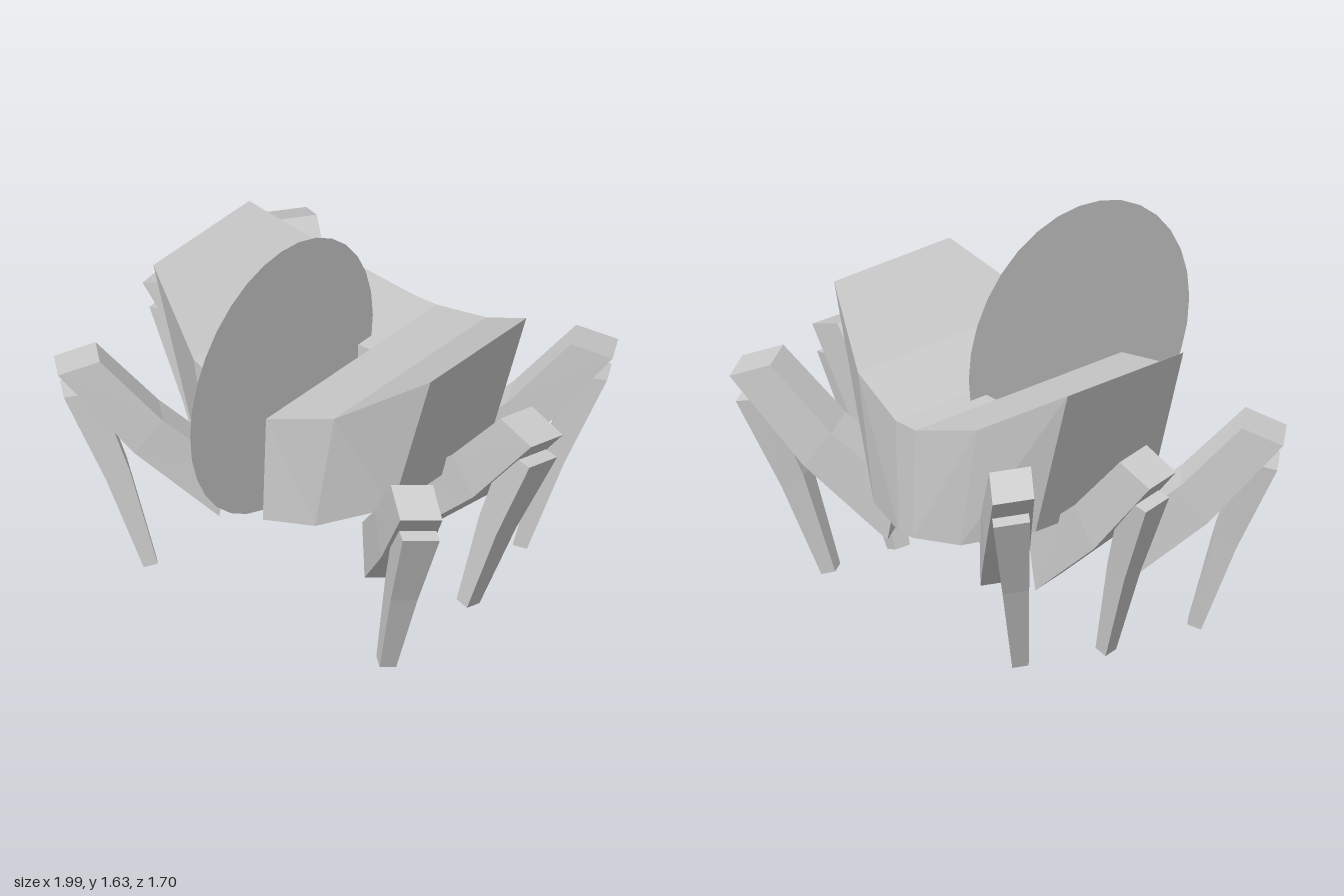
import * as THREE from 'three';

const material = new THREE.MeshStandardMaterial({ color: 0xcccccc, flatShading: true, side: THREE.DoubleSide });

// Joins four-cornered sections into a closed solid; side -1 mirrors it in x.
function loft(name, sections, side = 1) {
  const pos = [];
  const quad = (a, b, c, d) => {
    for (const p of side > 0 ? [a, b, c, a, c, d] : [a, c, b, a, d, c]) pos.push(p[0] * side, p[1], p[2]);
  };
  for (let k = 0; k < sections.length - 1; k++) {
    const a = sections[k], b = sections[k + 1];
    for (let i = 0; i < 4; i++) {
      const j = (i + 1) % 4;
      quad(a[i], a[j], b[j], b[i]);
    }
  }
  const s = sections[0];
  quad(s[3], s[2], s[1], s[0]);
  quad(...sections[sections.length - 1]);
  const geometry = new THREE.BufferGeometry();
  geometry.setAttribute('position', new THREE.Float32BufferAttribute(pos, 3));
  geometry.computeVertexNormals();
  const mesh = new THREE.Mesh(geometry, material);
  mesh.name = name;
  return mesh;
}

// Body section: top and bottom corner (x, y) swept from front z to back z.
const bodySection = ([xt, yt, xb, yb, front, back]) => [
  [xt, yt, front], [xb, yb, front], [xb, yb, back], [xt, yt, back],
];

// Leg stations: upper/outer (r, y), lower/inner (r, y), width, sideways offset.
const thigh = [
  [-0.04, 0.465, 0, 0.236, 0.158, 0],
  [0.22, 0.68, 0.33, 0.53, 0.18, 0],
  [0.466, 0.948, 0.629, 0.885, 0.165, 0],
];
const shin = [
  [0.605, 0.775, 0.47, 0.8, 0.145, -0.005],
  [0.44, 0.4, 0.35, 0.45, 0.105, 0.025],
  [0.295, 0.005, 0.24, 0.022, 0.065, 0.055],
];

// Turns a leg station into a section at the hip position and yaw.
function legSection([r1, y1, r2, y2, w, offset], { x, z, yaw, lift }) {
  const c = Math.cos(yaw), n = Math.sin(yaw);
  const point = (r, y, s) => {
    const rr = r - 0.1 * s;
    return [x + rr * c - s * n, y + 0.08 * s + lift, z + rr * n + s * c];
  };
  const a = offset + w / 2, b = offset - w / 2;
  return [point(r1, y1, a), point(r2, y2, a), point(r2, y2, b), point(r1, y1, b)];
}

export function createModel() {
  const model = new THREE.Group();
  model.name = 'walker';

  // Slotted, saddle-shaped body: two wings and a bridge behind the slot
  const wing = [
    [0.058, 0.97, 0.042, 0.5, 0.45, -0.62],
    [0.35, 1.055, 0.255, 0.525, 0.39, -0.56],
    [0.69, 1.27, 0.5, 0.617, 0.215, -0.385],
  ];
  const body = new THREE.Group();
  body.name = 'body';
  for (const side of [1, -1]) body.add(loft(side > 0 ? 'leftWing' : 'rightWing', wing.map(bodySection), side));
  body.add(loft('bridge', [
    [-0.058, 0.97, -0.042, 0.5, -0.2, -0.62],
    [0.058, 0.97, 0.042, 0.5, -0.2, -0.62],
  ].map(bodySection)));
  model.add(body);

  // Thin upright disc in the slot
  const disc = new THREE.Mesh(new THREE.CircleGeometry(0.572, 32), material);
  disc.name = 'disc';
  disc.rotation.y = Math.PI / 2;
  disc.position.set(0, 1.062, 0.28);
  model.add(disc);

  // Three pairs of legs, each pair a little higher towards the back
  const hips = [
    { name: 'frontLeg', x: 0.417, z: 0.158, yaw: 0.67, lift: 0 },
    { name: 'middleLeg', x: 0.354, z: -0.192, yaw: 0.07, lift: 0.05 },
    { name: 'backLeg', x: 0.315, z: -0.405, yaw: -0.64, lift: 0.1 },
  ];
  for (const hip of hips) {
    for (const side of [1, -1]) {
      const leg = new THREE.Group();
      leg.name = hip.name + (side > 0 ? 'Left' : 'Right');
      leg.add(loft('thigh', thigh.map((s) => legSection(s, hip)), side));
      leg.add(loft('shin', shin.map((s) => legSection(s, hip)), side));
      model.add(leg);
    }
  }
  return model;
}
